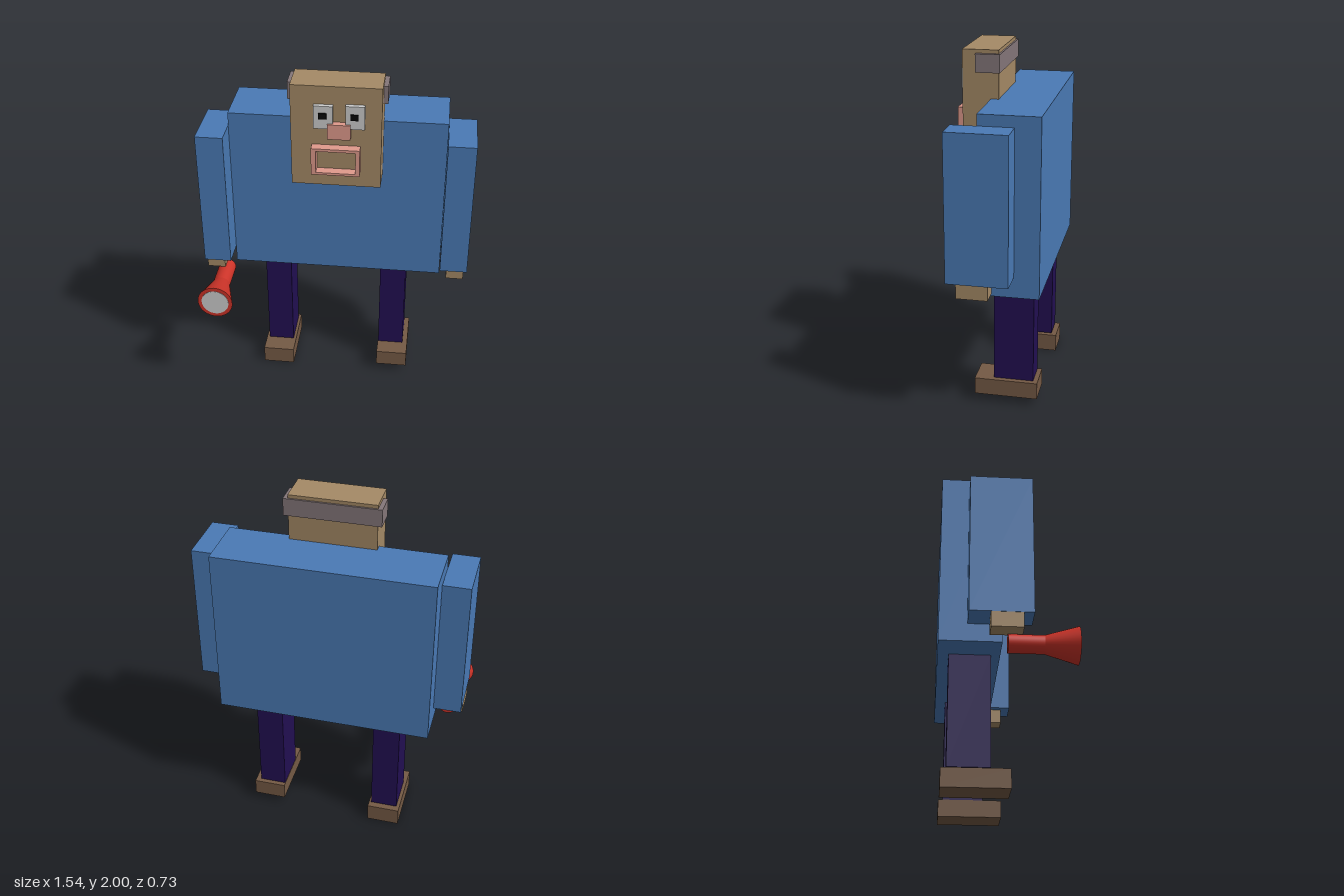
import * as THREE from 'three';

const paint = (color, side = THREE.FrontSide) => new THREE.MeshStandardMaterial({ color, side });

export function createModel() {
  const model = new THREE.Group();
  const blue = paint(0x4a7ab5), skin = paint(0xa58a66), purple = paint(0x220f52);
  const brown = paint(0x755a45), pink = paint(0xe09a8c), red = paint(0xcc3328);
  const slate = paint(0x85777a), black = paint(0x080808), grey = paint(0xcccccc);

  const add = (name, geometry, material) => {
    const mesh = new THREE.Mesh(geometry, material);
    mesh.name = name;
    model.add(mesh);
    return mesh;
  };
  // Box given by its limits on each axis
  const block = (name, material, [x0, x1], [y0, y1], [z0, z1]) =>
    add(name, new THREE.BoxGeometry(x1 - x0, y1 - y0, z1 - z0), material)
      .position.set((x0 + x1) / 2, (y0 + y1) / 2, (z0 + z1) / 2);

  // Torso and head
  block('torso', blue, [-0.615, 0.61], [0.74, 1.735], [-0.363, -0.027]);
  block('head', skin, [-0.237, 0.255], [1.405, 2], [-0.07, 0.13]);
  block('earBand', slate, [-0.262, 0.28], [1.88, 1.98], [-0.08, 0.055]);

  // Arms and hands
  block('rightArm', blue, [-0.772, -0.616], [0.84, 1.657], [-0.212, 0.128]);
  block('leftArm', blue, [0.612, 0.768], [0.857, 1.673], [-0.225, 0.112]);
  block('rightHand', skin, [-0.77, -0.666], [0.755, 0.84], [-0.098, 0.073]);
  block('leftHand', skin, [0.65, 0.75], [0.77, 0.857], [-0.112, 0.06]);

  // Legs and shoes
  block('rightLeg', purple, [-0.445, -0.29], [0.113, 0.74], [-0.303, -0.075]);
  block('leftLeg', purple, [0.256, 0.41], [0.143, 0.74], [-0.303, -0.075]);
  block('rightShoe', brown, [-0.463, -0.275], [0, 0.105], [-0.333, 0.03]);
  block('leftShoe', brown, [0.254, 0.44], [0.045, 0.143], [-0.33, 0.031]);

  // Eyes, pupils and nose
  block('rightEye', grey, [-0.11, -0.006], [1.763, 1.896], [0.125, 0.156]);
  block('leftEye', grey, [0.062, 0.165], [1.768, 1.902], [0.125, 0.156]);
  block('rightPupil', black, [-0.083, -0.039], [1.824, 1.857], [0.15, 0.165]);
  block('leftPupil', black, [0.089, 0.132], [1.824, 1.857], [0.15, 0.165]);
  block('nose', pink, [-0.034, 0.09], [1.708, 1.795], [0.125, 0.168]);

  // Open mouth: a rectangular lip frame
  const rect = (path, x0, x1, y0, y1) =>
    path.moveTo(x0, y0).lineTo(x1, y0).lineTo(x1, y1).lineTo(x0, y1).closePath();
  const lips = rect(new THREE.Shape(), -0.122, 0.143, 1.497, 1.656);
  lips.holes.push(rect(new THREE.Path(), -0.096, 0.12, 1.511, 1.64));
  add('lips', new THREE.ExtrudeGeometry(lips, { depth: 0.06, bevelEnabled: false }), pink)
    .position.z = 0.125;

  // Torch: handle, flared head and lens along +z
  const [tx, ty] = [-0.67, 0.706];
  const tube = (name, material, rBack, rFront, z0, z1) => {
    const geometry = new THREE.CylinderGeometry(rFront, rBack, z1 - z0, 32).rotateX(Math.PI / 2);
    add(name, geometry, material).position.set(tx, ty, (z0 + z1) / 2);
  };
  tube('torchHandle', red, 0.05, 0.05, -0.006, 0.19);
  tube('torchHead', red, 0.05, 0.102, 0.185, 0.363);
  tube('torchLens', grey, 0.079, 0.079, 0.35, 0.365);

  return model;
}
